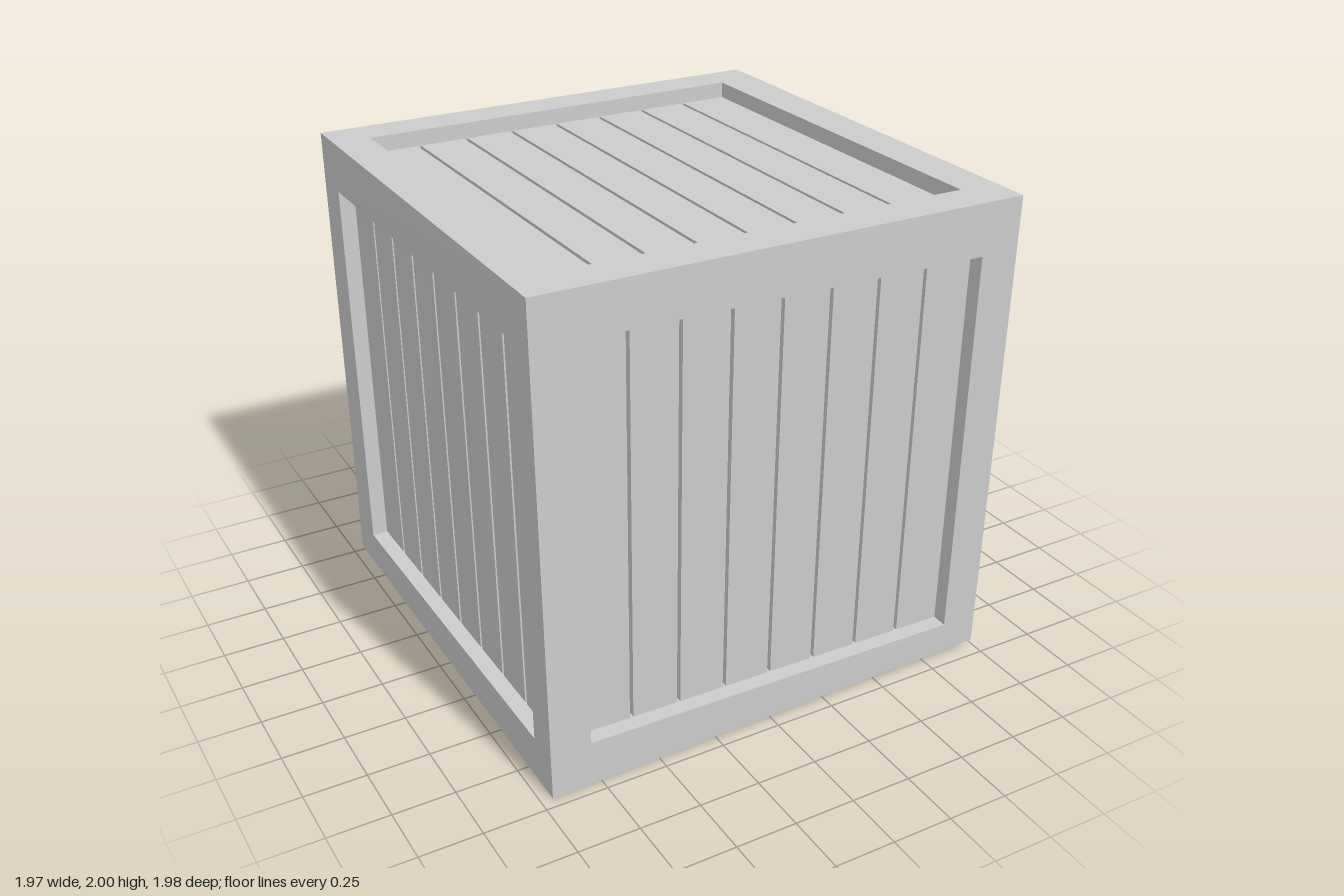
import * as THREE from 'three';

const RECESS = 0.065; // plank surface below the frame
const GROOVE = 0.03;  // extra depth of the gaps between planks
const PLANKS = 8;
const GAP = 0.009;    // gap width as a fraction of the panel

// Slightly crooked box corners: Left/Right, Bottom/Top, bacK/Front
const C = {
  LBF: [-0.953, 0, 0.955], RBF: [0.98, 0.038, 0.955], RBK: [0.98, 0.015, -0.957], LBK: [-0.965, 0.028, -0.985],
  LTF: [-0.985, 2, 0.95], RTF: [0.98, 2, 0.985], RTK: [0.97, 1.985, -0.96], LTK: [-0.98, 1.985, -0.99],
};

// Each face: outer corners counter-clockwise from its lower left,
// and the panel opening's corners as fractions of the face.
const FACES = [
  ['front', ['LBF', 'RBF', 'RTF', 'LTF'], [[0.085, 0.094], [0.921, 0.066], [0.919, 0.893], [0.094, 0.907]]],
  ['right', ['RBF', 'RBK', 'RTK', 'RTF'], [[0.079, 0.066], [0.932, 0.08], [0.923, 0.906], [0.085, 0.893]]],
  ['back', ['RBK', 'LBK', 'LTK', 'RTK'], [[0.088, 0.09], [0.92, 0.072], [0.92, 0.897], [0.08, 0.902]]],
  ['left', ['LBK', 'LBF', 'LTF', 'LTK'], [[0.085, 0.076], [0.93, 0.09], [0.925, 0.9], [0.08, 0.897]]],
  ['top', ['LTF', 'RTF', 'RTK', 'LTK'], [[0.087, 0.079], [0.92, 0.08], [0.913, 0.921], [0.077, 0.918]]],
  ['bottom', ['LBK', 'RBK', 'RBF', 'LBF'], [[0.083, 0.083], [0.917, 0.083], [0.917, 0.917], [0.083, 0.917]]],
];

// Point inside a four-cornered patch
function bilinear(c, s, t) {
  const low = c[0].clone().lerp(c[1], s);
  const high = c[3].clone().lerp(c[2], s);
  return low.lerp(high, t);
}

export function createModel() {
  const crate = new THREE.Group();
  crate.name = 'crate';
  const material = new THREE.MeshStandardMaterial({ color: 0xcccccc, flatShading: true });

  for (const [name, keys, opening] of FACES) {
    const face = new THREE.Group();
    face.name = name + 'Side';
    crate.add(face);

    const outer = keys.map((k) => new THREE.Vector3(...C[k]));
    const inner = opening.map(([s, t]) => bilinear(outer, s, t));
    const normal = outer[2].clone().sub(outer[0]).cross(outer[3].clone().sub(outer[1])).normalize();
    const sink = (p, d) => p.clone().addScaledVector(normal, -d);
    const floor = inner.map((p) => sink(p, RECESS + GROOVE));

    const add = (geometry, part) => {
      geometry.computeVertexNormals();
      const mesh = new THREE.Mesh(geometry, material);
      mesh.name = part;
      face.add(mesh);
    };

    // Frame: four borders, four recess walls and the backing behind the planks
    const index = [8, 9, 10, 8, 10, 11];
    for (let i = 0; i < 4; i++) {
      const j = (i + 1) % 4;
      for (const r of [0, 4]) index.push(r + i, r + j, r + 4 + j, r + i, r + 4 + j, r + 4 + i);
    }
    const frame = new THREE.BufferGeometry().setFromPoints([...outer, ...inner, ...floor]);
    frame.setIndex(index);
    add(frame.toNonIndexed(), 'frame');

    // Planks: boxes fitted into the crooked opening
    for (let i = 0; i < PLANKS; i++) {
      const from = i / PLANKS + (i > 0 ? GAP / 2 : 0);
      const to = (i + 1) / PLANKS - (i < PLANKS - 1 ? GAP / 2 : 0);
      const plank = new THREE.BoxGeometry(1, 1, 1);
      const pos = plank.attributes.position;
      for (let v = 0; v < pos.count; v++) {
        const s = THREE.MathUtils.lerp(from, to, pos.getX(v) + 0.5);
        const depth = RECESS + (pos.getZ(v) < 0 ? GROOVE : 0);
        const p = sink(bilinear(inner, s, pos.getY(v) + 0.5), depth);
        pos.setXYZ(v, p.x, p.y, p.z);
      }
      add(plank, 'plank');
    }
  }
  return crate;
}
